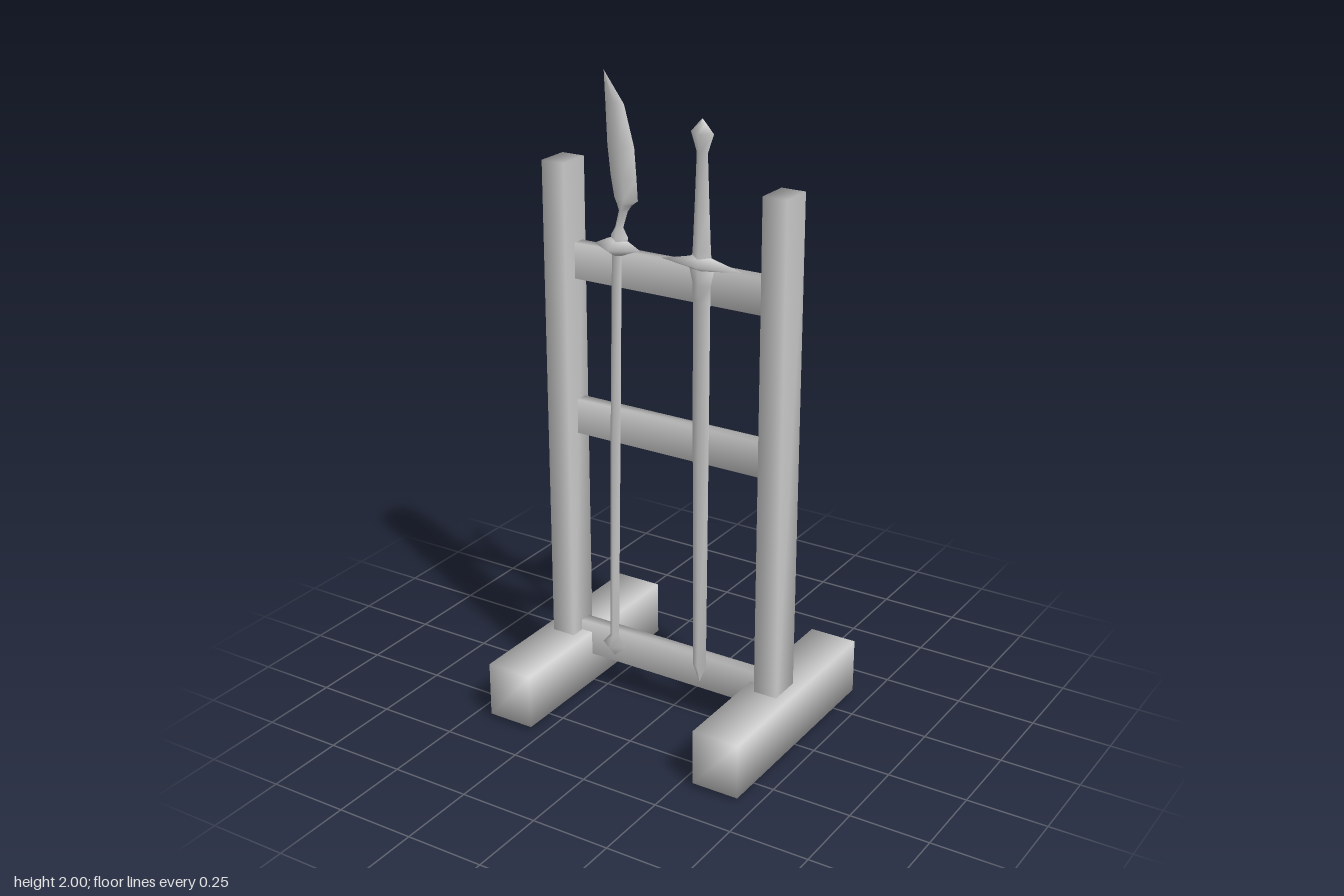
import * as THREE from 'three';
import { mergeVertices } from 'three/addons/utils/BufferGeometryUtils.js';

const material = new THREE.MeshStandardMaterial({ color: 0xcccccc });

function addMesh(parent, name, geometry) {
  const mesh = new THREE.Mesh(geometry, material);
  mesh.name = name;
  parent.add(mesh);
  return mesh;
}

// Box between two corners, with normals shared around its edges
function softBox(x0, x1, y0, y1, z0, z1) {
  const box = new THREE.BoxGeometry(x1 - x0, y1 - y0, z1 - z0);
  box.translate((x0 + x1) / 2, (y0 + y1) / 2, (z0 + z1) / 2);
  box.deleteAttribute('normal');
  box.deleteAttribute('uv');
  const soft = mergeVertices(box);
  soft.computeVertexNormals();
  return soft;
}

// Four-sided diamond loft; rows run upward as [y, left x, right x, half depth]
function diamondLoft(rows, z) {
  const positions = [], index = [];
  rows.forEach(([y, xl, xr, d], i) => {
    const xm = (xl + xr) / 2;
    positions.push(xm, y, z + d, xr, y, z, xm, y, z - d, xl, y, z);
    if (i === 0) return;
    for (let j = 0; j < 4; j++) {
      const a = (i - 1) * 4 + j, b = (i - 1) * 4 + (j + 1) % 4;
      index.push(a, b, b + 4, a, b + 4, a + 4);
    }
  });
  const g = new THREE.BufferGeometry();
  g.setAttribute('position', new THREE.Float32BufferAttribute(positions, 3));
  g.setIndex(index);
  g.computeVertexNormals();
  return g;
}

// Symmetric rows [y, centre x, half width, half depth]
const centred = (rows) => rows.map(([y, x, r, d]) => [y, x - r, x + r, d]);

function createRack() {
  const rack = new THREE.Group();
  rack.name = 'rack';
  for (const [side, s] of [['right', -1], ['left', 1]]) {
    const cx = s * 0.367;
    addMesh(rack, side + 'Foot', softBox(cx - 0.076, cx + 0.076, 0.012, 0.187, -0.365, 0.362));
    addMesh(rack, side + 'Post', softBox(cx - 0.038, cx + 0.038, 0, 1.72, -0.032, 0.073));
  }
  for (const [name, y] of [['lowerRail', 0.165], ['middleRail', 0.92], ['upperRail', 1.415]]) {
    addMesh(rack, name, softBox(-0.33, 0.33, y - 0.055, y + 0.055, -0.015, 0.025));
  }
  return rack;
}

function createGlaive() {
  const glaive = new THREE.Group();
  glaive.name = 'glaive';
  const z = 0.045;
  // Leaning shaft with a knob at the bottom
  addMesh(glaive, 'glaiveShaft', diamondLoft(centred([
    [0.145, -0.191, 0, 0],
    [0.182, -0.191, 0.042, 0.028],
    [0.215, -0.19, 0.016, 0.013],
    [0.9, -0.178, 0.018, 0.015],
    [1.47, -0.166, 0.017, 0.015],
    [1.5, -0.165, 0, 0],
  ]), z));
  // Diamond collar under the blade
  addMesh(glaive, 'glaiveCollar', diamondLoft(centred([
    [1.458, -0.164, 0, 0],
    [1.472, -0.164, 0.032, 0.024],
    [1.49, -0.164, 0.079, 0.053],
    [1.512, -0.162, 0.035, 0.024],
    [1.525, -0.16, 0, 0],
  ]), z));
  // Curved single-edged blade
  addMesh(glaive, 'glaiveBlade', diamondLoft([
    [1.505, -0.185, -0.13, 0.022],
    [1.522, -0.186, -0.126, 0.022],
    [1.55, -0.17, -0.143, 0.017],
    [1.6, -0.157, -0.127, 0.014],
    [1.62, -0.164, -0.113, 0.013],
    [1.636, -0.172, -0.092, 0.012],
    [1.7, -0.184, -0.096, 0.011],
    [1.79, -0.194, -0.103, 0.01],
    [1.91, -0.199, -0.136, 0.006],
    [2.0, -0.203, -0.203, 0],
  ], z));
  return glaive;
}

function createSword() {
  const sword = new THREE.Group();
  sword.name = 'sword';
  const x = 0.127, z = 0.055;
  // Blade pointing down, flared near the guard
  addMesh(sword, 'swordBlade', diamondLoft(centred([
    [0.15, x, 0, 0],
    [0.205, x, 0.023, 0.013],
    [0.9, x, 0.027, 0.016],
    [1.38, x, 0.029, 0.017],
    [1.43, x, 0.03, 0.022],
    [1.48, x, 0.042, 0.024],
    [1.49, x, 0, 0],
  ]), z));
  // Wide pointed crossguard
  addMesh(sword, 'swordGuard', diamondLoft(centred([
    [1.468, x, 0, 0],
    [1.474, x, 0.045, 0.02],
    [1.486, x, 0.133, 0.032],
    [1.508, x, 0.04, 0.023],
    [1.53, x, 0, 0],
  ]), z));
  // Grip and pommel
  addMesh(sword, 'swordGrip', diamondLoft(centred([
    [1.49, x, 0.034, 0.024],
    [1.53, x, 0.03, 0.021],
    [1.66, x, 0.024, 0.018],
    [1.81, x, 0.018, 0.016],
    [1.865, x, 0.037, 0.029],
    [1.893, x, 0.012, 0.01],
    [1.905, x, 0, 0],
  ]), z));
  return sword;
}

export function createModel() {
  const model = new THREE.Group();
  model.name = 'weaponRack';
  model.add(createRack(), createGlaive(), createSword());
  return model;
}
